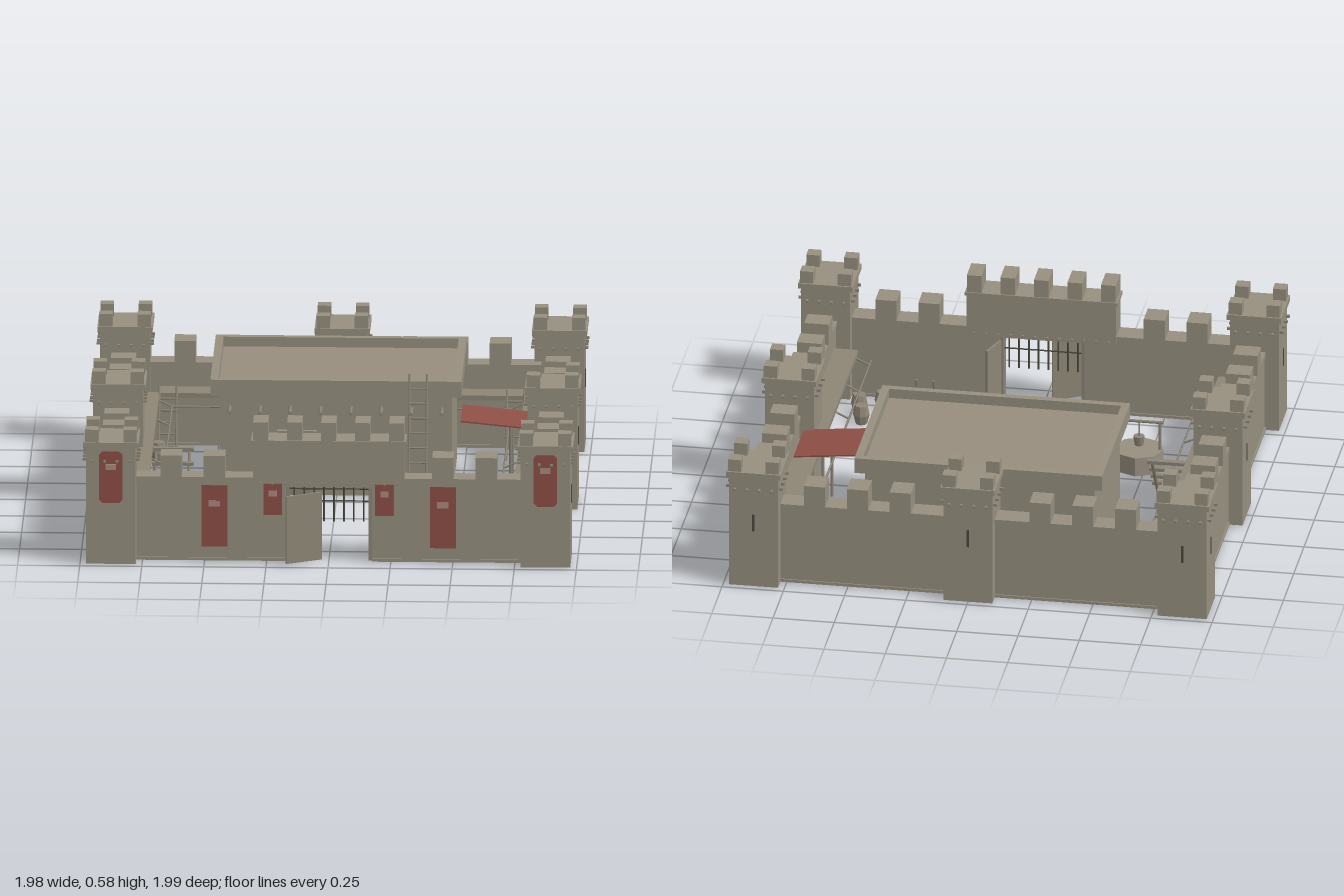
import * as THREE from 'three';

const mat = (name, color) => {
  const m = new THREE.MeshStandardMaterial({ color });
  m.name = name;
  return m;
};

export function createModel() {
  const stone = mat('stone', 0x979080);
  const wood = mat('weathered wood', 0x8d8676);
  const roofing = mat('roof clay', 0x978d7d);
  const dark = mat('dark opening', 0x4c483f);
  const red = mat('red cloth', 0x8e4f45);
  red.side = THREE.DoubleSide;
  const pale = mat('pale cloth', 0xa98a80);
  const root = new THREE.Group();
  root.name = 'fortress';

  const group = (name, parent = root, x = 0, y = 0, z = 0) => {
    const g = new THREE.Group();
    g.name = name;
    g.position.set(x, y, z);
    parent.add(g);
    return g;
  };
  const add = (name, geo, m, parent) => {
    const mesh = new THREE.Mesh(geo, m);
    mesh.name = name;
    parent.add(mesh);
    return mesh;
  };
  // box given by its three ranges
  const box = (name, m, [x0, x1], [y0, y1], [z0, z1], parent = root) => {
    const b = add(name, new THREE.BoxGeometry(x1 - x0, y1 - y0, z1 - z0), m, parent);
    b.position.set((x0 + x1) / 2, (y0 + y1) / 2, (z0 + z1) / 2);
    return b;
  };
  // straight pole between two points
  const pole = (name, m, a, b, r, parent = root) => {
    const p = new THREE.Vector3(...a), q = new THREE.Vector3(...b);
    const mesh = add(name, new THREE.CylinderGeometry(r, r, p.distanceTo(q), 6), m, parent);
    mesh.position.copy(p).lerp(q, 0.5);
    mesh.quaternion.setFromUnitVectors(new THREE.Vector3(0, 1, 0), q.sub(p).normalize());
    return mesh;
  };
  const span = (c, half) => [c - half, c + half];

  // towers: shaft, cap, corner merlons, beam ends, arrow slits
  const tower = (x, z) => {
    const t = group('tower', root, x, 0, z);
    box('towerShaft', stone, [-0.1, 0.1], [0, 0.49], [-0.1, 0.1], t);
    box('towerCap', stone, [-0.111, 0.111], [0.485, 0.508], [-0.111, 0.111], t);
    for (const sx of [-1, 1]) for (const sz of [-1, 1])
      box('towerMerlon', stone, span(sx * 0.077, 0.027), [0.508, 0.56], span(sz * 0.077, 0.027), t);
    for (const o of [-0.075, -0.025, 0.025, 0.075]) {
      box('beamEnd', wood, span(o, 0.005), [0.425, 0.435], [-0.115, 0.115], t);
      box('beamEnd', wood, [-0.115, 0.115], [0.425, 0.435], span(o, 0.005), t);
    }
    if (Math.abs(x) > 0.5)
      box('arrowSlit', dark, span(Math.sign(x) * 0.1, 0.003), [0.245, 0.32], [-0.005, 0.005], t);
    if (z < -0.5)
      box('arrowSlit', dark, [-0.005, 0.005], [0.245, 0.32], span(-0.1, 0.003), t);
  };
  for (const s of [-1, 1]) for (const z of [-0.88, -0.005, 0.88]) tower(s * 0.875, z);
  tower(0, -0.88);

  // curtain walls, built along local x
  const wall = (name, from, to, merlons) => {
    const w = group(name);
    box('wallBody', stone, [from, to], [0, 0.33], [-0.042, 0.042], w);
    box('wallLedge', stone, [from, to], [0.325, 0.347], [-0.046, 0.046], w);
    box('wallFoot', stone, [from, to], [0, 0.012], [-0.047, 0.047], w);
    for (const m of merlons)
      box('wallMerlon', stone, span(m, 0.043), [0.347, 0.437], [-0.05, 0.05], w);
    return w;
  };
  const spots = [0.285, 0.46, 0.635];
  for (const s of [-1, 1]) {
    const ends = s < 0 ? [-0.79, -0.175] : [0.175, 0.79];
    wall('frontWall', ...ends, spots.slice(1).map(v => v * s)).position.z = 0.867;
    const back = s < 0 ? [-0.79, -0.09] : [0.09, 0.79];
    wall('backWall', ...back, spots.map(v => v * s)).position.z = -0.876;
    const side = wall('sideWall', -0.79, 0.79, [-0.6, -0.42, -0.245, 0.24, 0.43, 0.6]);
    side.position.x = s * 0.875;
    side.rotation.y = Math.PI / 2;
  }

  // gatehouse bridge
  const gate = group('gatehouse');
  box('gateParapet', stone, [-0.305, 0.305], [0.312, 0.495], [0.81, 0.922], gate);
  box('gateCap', stone, [-0.312, 0.312], [0.49, 0.505], [0.805, 0.927], gate);
  for (let i = -2; i <= 2; i++)
    box('gateMerlon', stone, span(i * 0.137, 0.03), [0.505, 0.58], [0.81, 0.922], gate);
  for (let i = 0; i < 12; i++)
    box('gateBeamEnd', wood, span(-0.275 + i * 0.05, 0.004), [0.322, 0.33], [0.8, 0.932], gate);
  for (const s of [-1, 1])
    box('gatePost', wood, span(s * 0.167, 0.008), [0, 0.312], [0.84, 0.895], gate);
  // raised portcullis
  for (let i = 0; i < 8; i++)
    pole('portcullisBar', dark, [-0.14 + i * 0.04, 0.155, 0.867], [-0.14 + i * 0.04, 0.315, 0.867], 0.004, gate);
  for (const y of [0.24, 0.29]) pole('portcullisRail', dark, [-0.16, y, 0.867], [0.16, y, 0.867], 0.003, gate);
  // open gate leaves
  const leaf = (x0, z0, x1, z1) => {
    const l = box('gateLeaf', wood, span(0, Math.hypot(x1 - x0, z1 - z0) / 2), [0.005, 0.285], [-0.005, 0.005], gate);
    l.position.set((x0 + x1) / 2, 0.145, (z0 + z1) / 2);
    l.rotation.y = -Math.atan2(z1 - z0, x1 - x0);
  };
  leaf(-0.17, 0.975, -0.03, 0.9);
  leaf(0.165, 0.86, 0.21, 0.73);

  // banners with clipped corners and a plain pale patch
  const banner = (x, w, y0, y1, z, clip) => {
    const h = w / 2, b = group('banner', root, x, 0, z);
    const s = new THREE.Shape();
    [[-h + clip, y0], [h - clip, y0], [h, y0 + clip], [h, y1 - clip], [h - clip, y1],
      [-h + clip, y1], [-h, y1 - clip], [-h, y0 + clip]].forEach(([px, py], i) => i ? s.lineTo(px, py) : s.moveTo(px, py));
    add('bannerCloth', new THREE.ExtrudeGeometry(s, { depth: 0.005, bevelEnabled: false }), red, b);
    const py = y0 + (y1 - y0) * 0.7;
    box('bannerPatch', pale, span(0, w * 0.22), span(py, 0.012), [0.004, 0.008], b);
  };
  for (const s of [-1, 1]) {
    banner(s * 0.875, 0.095, 0.255, 0.47, 0.981, 0.014);
    banner(s * 0.46, 0.105, 0.06, 0.315, 0.915, 0.001);
    banner(s * 0.225, 0.075, 0.195, 0.325, 0.924, 0.001);
  }

  // keep with overhanging parapet and sunken roof
  const keep = group('keep');
  box('keepBody', stone, [-0.472, 0.465], [0, 0.44], [-0.705, -0.09], keep);
  box('keepRoof', roofing, [-0.49, 0.485], [0.425, 0.447], [-0.725, -0.07], keep);
  for (const z of [[-0.742, -0.712], [-0.087, -0.057]])
    box('keepParapet', stone, [-0.508, 0.503], [0.422, 0.487], z, keep);
  for (const x of [[-0.508, -0.476], [0.471, 0.503]])
    box('keepParapet', stone, x, [0.422, 0.487], [-0.712, -0.087], keep);
  for (let i = 0; i < 8; i++)
    pole('roofBeam', wood, [-0.43 + i * 0.122, 0.365, -0.1], [-0.43 + i * 0.122, 0.365, 0.003], 0.008, keep);
  // keep door and frame
  box('keepDoor', wood, [-0.21, -0.11], [0, 0.24], [-0.09, -0.085], keep);
  for (const x of [-0.22, -0.1]) box('doorJamb', stone, span(x, 0.01), [0, 0.25], [-0.09, -0.075], keep);
  box('doorLintel', stone, [-0.24, -0.08], [0.25, 0.272], [-0.09, -0.07], keep);

  // cloth awning beside the keep
  const awning = box('awning', red, [-0.16, 0.16], [-0.003, 0.003], [-0.125, 0.125]);
  awning.position.set(0.658, 0.295, -0.22);
  awning.rotation.z = -0.1;
  for (const z of [-0.33, -0.11]) pole('awningPost', wood, [0.7, 0, z], [0.7, 0.29, z], 0.007);

  // wall walks, handlines and braces
  for (const s of [-1, 1]) {
    box('sideWalk', wood, span(s * 0.785, 0.05), [0.225, 0.245], [-0.745, 0.738]);
    pole('handline', wood, [s * 0.683, 0.2, -0.69], [s * 0.683, 0.2, 0.738], 0.004);
    for (const z of [-0.69, -0.4, 0.2, 0.45, 0.7]) {
      pole('walkBrace', wood, [s * 0.83, 0.1, z], [s * 0.74, 0.227, z], 0.006);
      pole('lineBracket', wood, [s * 0.74, 0.227, z], [s * 0.683, 0.2, z], 0.004);
    }
  }
  box('backWalk', wood, [-0.74, 0.74], [0.225, 0.245], [-0.835, -0.73]);
  pole('handline', wood, [-0.683, 0.2, -0.69], [0.683, 0.2, -0.69], 0.004);

  // leaning ladders
  const ladder = (x, zTop, yTop, zFoot, rungs) => {
    const l = group('ladder');
    for (const o of [-0.035, 0.035]) pole('ladderRail', wood, [x + o, 0, zFoot], [x + o, yTop, zTop], 0.005, l);
    for (let i = 1; i <= rungs; i++) {
      const t = i / (rungs + 1), z = zFoot + (zTop - zFoot) * t;
      pole('ladderRung', wood, [x - 0.042, yTop * t, z], [x + 0.042, yTop * t, z], 0.004, l);
    }
  };
  ladder(0.33, -0.052, 0.52, 0.08, 8);
  ladder(-0.7, -0.735, 0.27, -0.64, 5);
  ladder(0.7, -0.735, 0.27, -0.64, 5);

  // plank steps up to the left-hand walk
  for (let i = 0; i < 4; i++)
    box('plankStep', wood, [-0.74, -0.572], span(0.06 + i * 0.05, 0.007), span(0.108 - i * 0.039, 0.013));
  for (const x of [-0.725, -0.59]) pole('stepStringer', wood, [x, 0, 0.14], [x, 0.21, -0.015], 0.007);

  // well with winch
  const well = group('well', root, -0.473, 0, 0.37);
  const octagon = new THREE.CylinderGeometry(0.1, 0.1, 0.08, 8).toNonIndexed();
  octagon.computeVertexNormals();
  add('wellBasin', octagon, stone, well).position.y = 0.04;
  for (const s of [-1, 1]) pole('wellPost', wood, [s * 0.085, 0.07, 0], [s * 0.085, 0.2, 0], 0.007, well);
  pole('wellBeam', wood, [-0.1, 0.2, 0], [0.1, 0.2, 0], 0.006, well);
  pole('wellRope', wood, [0, 0.13, 0], [0, 0.2, 0], 0.003, well);
  add('wellBucket', new THREE.CylinderGeometry(0.023, 0.018, 0.04, 10), wood, well).position.y = 0.115;

  // barrels
  const profile = [[0, 0], [0.024, 0], [0.034, 0.04], [0.026, 0.08], [0, 0.08]].map(p => new THREE.Vector2(...p));
  const barrelGeo = new THREE.LatheGeometry(profile, 8).toNonIndexed();
  barrelGeo.computeVertexNormals();
  for (const [x, z] of [[-0.735, -0.59], [0.695, 0.575], [0.63, 0.715], [0.72, 0.675]])
    add('barrel', barrelGeo, wood, root).position.set(x, 0, z);

  return root;
}
